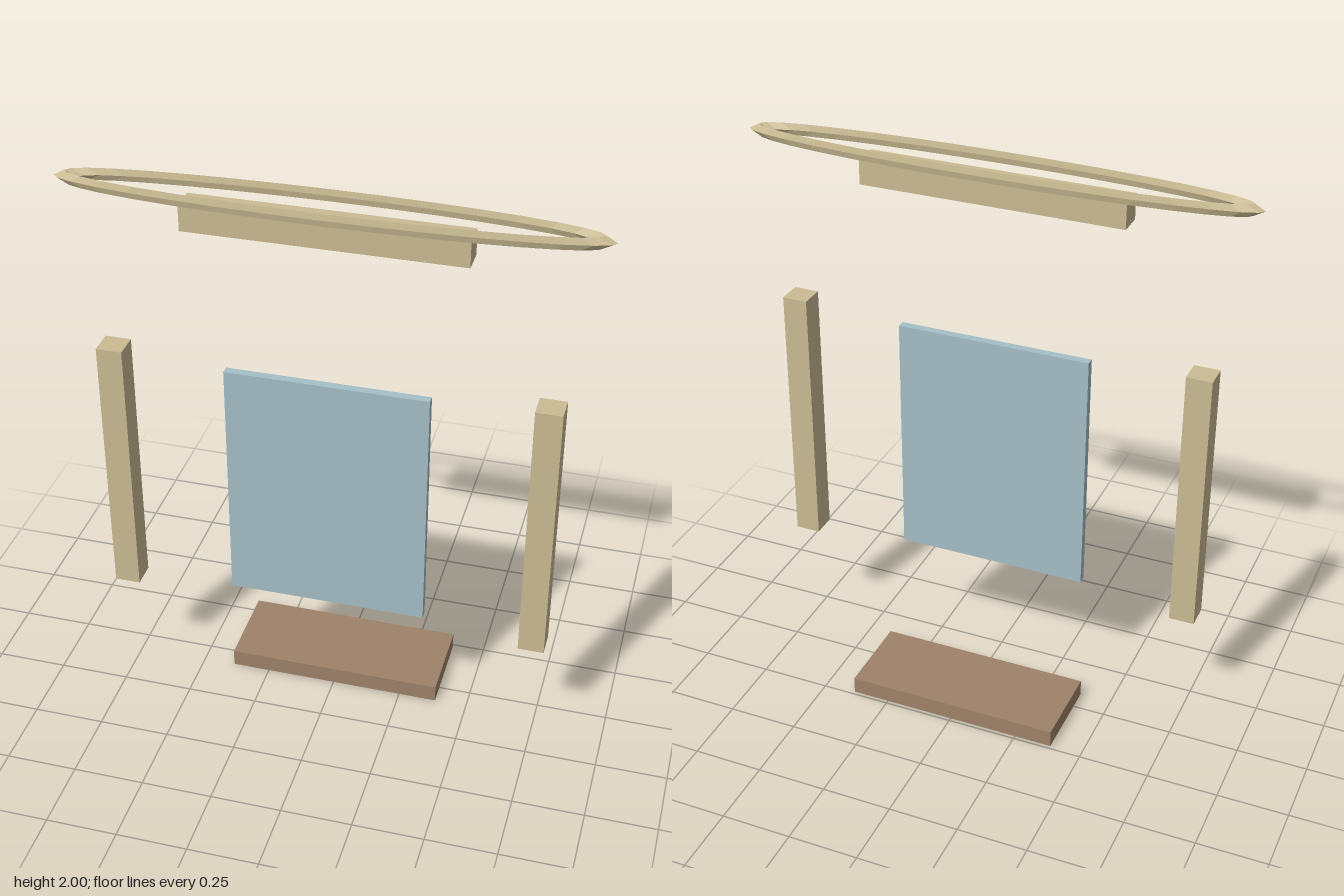
import * as THREE from 'three';

export function createModel() {
  const model = new THREE.Group();
  const material = (name, color) => {
    const m = new THREE.MeshStandardMaterial({ color });
    m.name = name;
    return m;
  };
  const stone = material('sandstone', 0xc9bb92);
  const glass = material('paleBlue', 0xa5bfc6);
  const wood = material('brown', 0x9e8269);

  // Box given by its size and centre
  const box = (name, mat, w, h, d, x, y, z) => {
    const mesh = new THREE.Mesh(new THREE.BoxGeometry(w, h, d), mat);
    mesh.name = name;
    mesh.position.set(x, y, z);
    model.add(mesh);
  };
  const frameZ = 0.15;

  // Step, pane and frame
  box('step', wood, 0.77, 0.062, 0.31, 0, 0.031, -0.082);
  box('pane', glass, 0.695, 0.89, 0.03, 0, 0.9, frameZ);
  box('leftPost', stone, 0.09, 0.965, 0.09, 0.735, 0.9, frameZ);
  box('rightPost', stone, 0.09, 0.965, 0.09, -0.735, 0.9, frameZ);
  box('lintel', stone, 0.927, 0.09, 0.09, 0, 1.905, frameZ);

  // Flattened ring with a diamond cross-section
  const ring = new THREE.TorusGeometry(0.853, 0.038, 4, 32);
  ring.rotateX(Math.PI / 2);
  ring.scale(1, 0.55, 0.1);
  const facets = ring.toNonIndexed();
  facets.computeVertexNormals();
  const topRing = new THREE.Mesh(facets, stone);
  topRing.name = 'topRing';
  topRing.position.set(0, 1.979, 0.148);
  model.add(topRing);

  return model;
}
